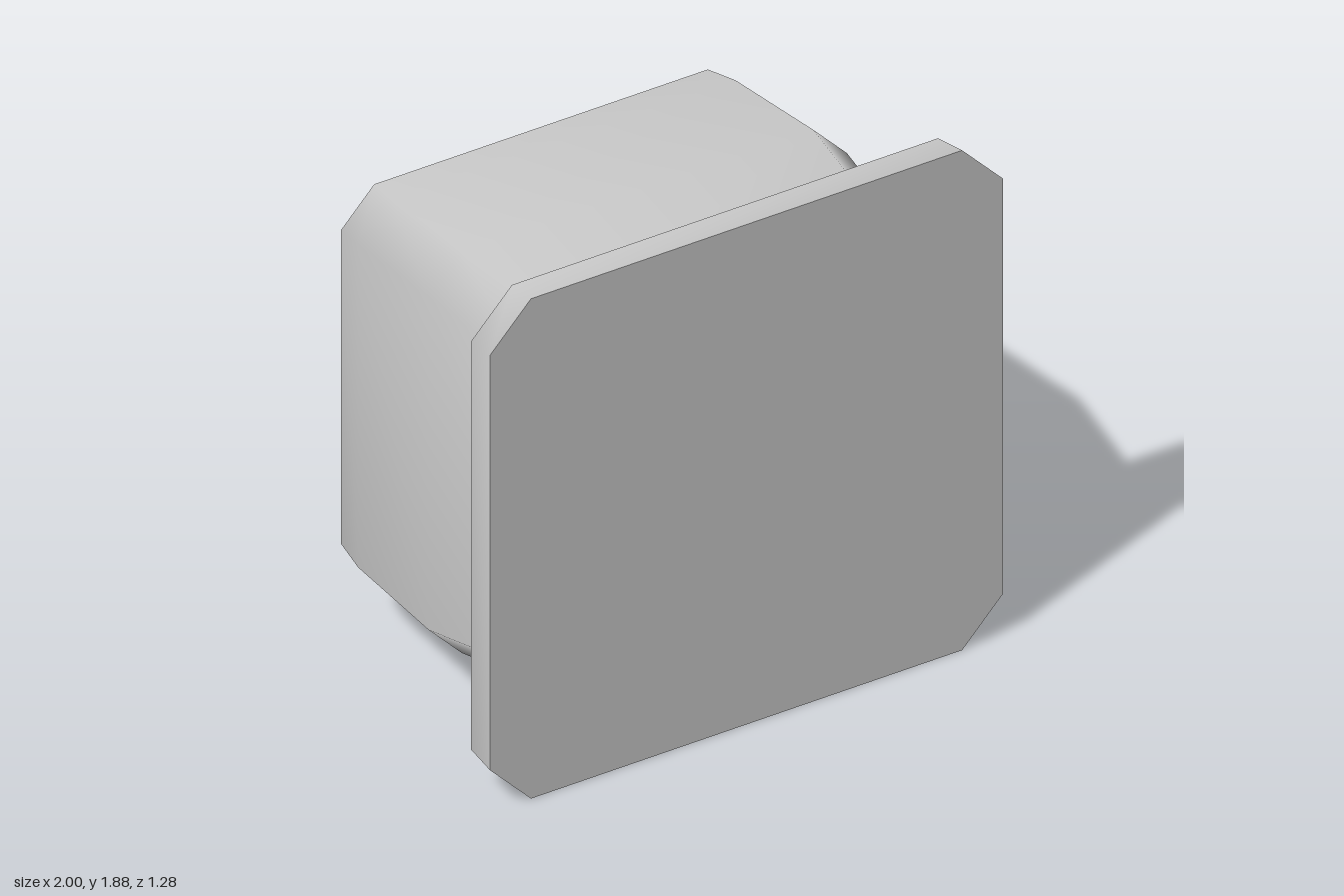
import * as THREE from 'three';

// Octagon with chamfered corners, counter-clockwise as seen from the front
function chamferedRing(hw, y0, y1, c, z) {
  return [
    [hw, y0 + c], [hw, y1 - c], [hw - c, y1], [-hw + c, y1],
    [-hw, y1 - c], [-hw, y0 + c], [-hw + c, y0], [hw - c, y0],
  ].map(([x, y]) => [x, y, z]);
}

// Regular polygon ring
function roundRing(cx, cy, r, sides, offset, z) {
  return Array.from({ length: sides }, (_, i) => {
    const a = offset + (i / sides) * Math.PI * 2;
    return [cx + r * Math.cos(a), cy + r * Math.sin(a), z];
  });
}

// Loft through rings running front to back: smooth sides, sharp flat caps
function loft(rings) {
  const n = rings[0].length;
  const last = rings.length - 1;
  const points = [...rings.flat(), ...rings[0], ...rings[last]];
  const index = [];
  for (let i = 0; i < last; i++) {
    for (let j = 0; j < n; j++) {
      const a = i * n + j, b = i * n + (j + 1) % n;
      index.push(a, a + n, b, b, a + n, b + n);
    }
  }
  const front = rings.length * n, back = front + n;
  for (let j = 1; j < n - 1; j++) {
    index.push(front, front + j, front + j + 1);
    index.push(back, back + j + 1, back + j);
  }
  const g = new THREE.BufferGeometry();
  g.setAttribute('position', new THREE.Float32BufferAttribute(points.flat(), 3));
  g.setIndex(index);
  g.computeVertexNormals();
  return g;
}

export function createModel() {
  const model = new THREE.Group();
  const grey = new THREE.MeshStandardMaterial({ color: 0xcccccc });
  grey.name = 'plain grey';
  const add = (name, rings) => {
    const mesh = new THREE.Mesh(loft(rings), grey);
    mesh.name = name;
    model.add(mesh);
  };

  // Wide front plate, slightly tapered towards the back
  add('frontPlate', [
    chamferedRing(1, 0, 1.88, 0.16, 0.64),
    chamferedRing(0.99, 0.013, 1.867, 0.16, 0.515),
  ]);

  // Bulging housing
  add('housing', [
    chamferedRing(0.75, 0.255, 1.628, 0.13, 0.515),
    chamferedRing(0.815, 0.185, 1.697, 0.13, 0.01),
    chamferedRing(0.8, 0.203, 1.677, 0.13, -0.42),
    chamferedRing(0.78, 0.222, 1.66, 0.13, -0.55),
  ]);

  // Round bevelled boss on the back
  const bossProfile = [[0.433, -0.55], [0.415, -0.583], [0.37, -0.64]];
  add('rearBoss', bossProfile.map(([r, z]) => roundRing(0, 1.13, r, 12, Math.PI / 12, z)));

  // Small flat button beside it
  add('rearButton', [-0.55, -0.56].map((z) => roundRing(0.608, 1.445, 0.09, 8, Math.PI / 8, z)));

  // Tapered pegs behind the plate, one on each side
  for (const [name, side] of [['leftPeg', 1], ['rightPeg', -1]]) {
    add(name, [[0.074, 0.515], [0.06, 0.45]].map(
      ([r, z]) => roundRing(side * 0.868, 0.94, r, 6, Math.PI / 6, z)));
  }
  return model;
}
